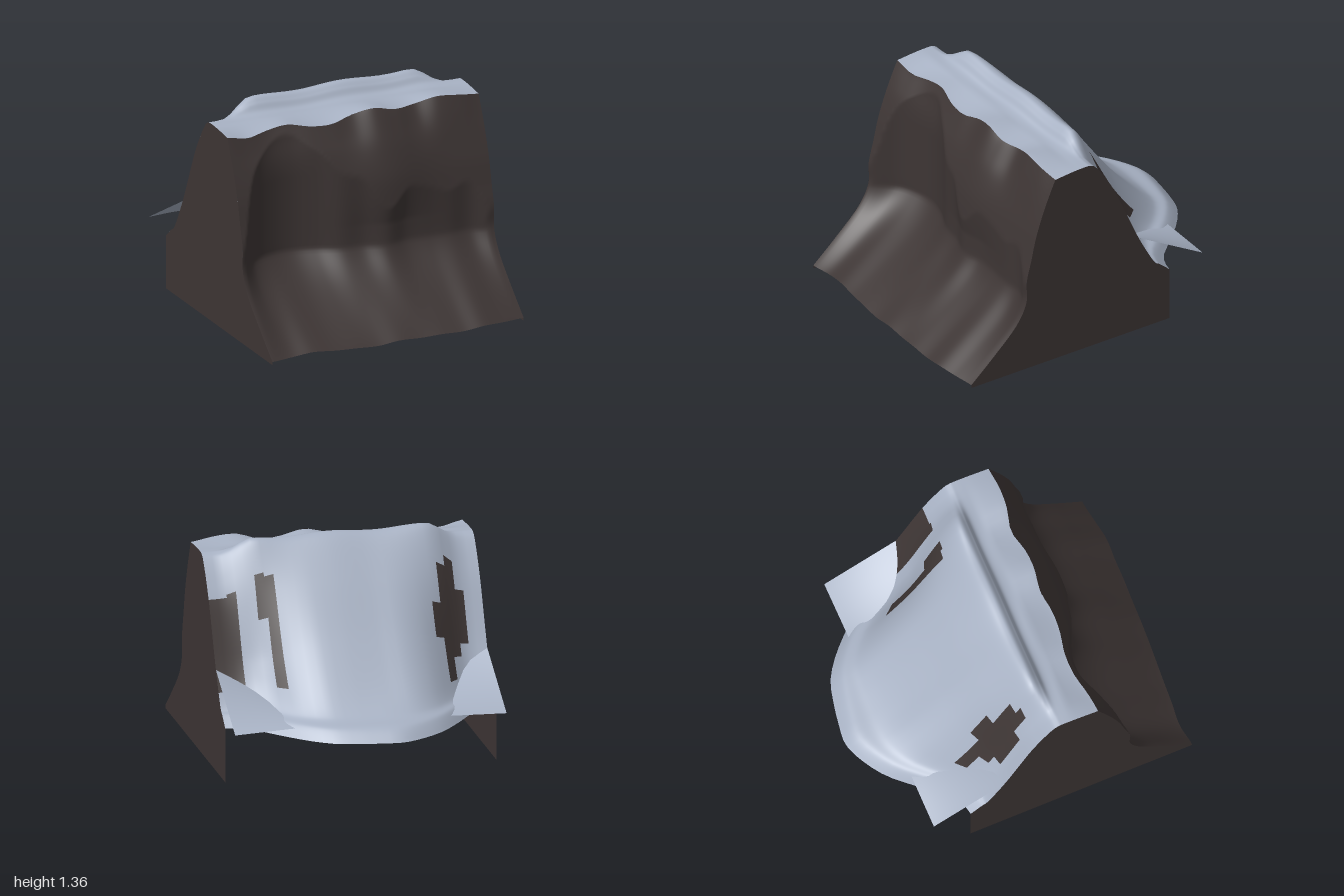
import * as THREE from 'three';

const HALF = 0.84;
const snow = new THREE.MeshStandardMaterial({ color: 0xa8b2c4, side: THREE.DoubleSide });
snow.name = 'snow';
const rock = new THREE.MeshStandardMaterial({ color: 0x3d3534, side: THREE.DoubleSide });
rock.name = 'rock';

const { lerp, smoothstep, clamp } = THREE.MathUtils;
const curve = (pts) => new THREE.SplineCurve(pts.map(([a, b]) => new THREE.Vector2(a, b)));
// smooth curve through equally spaced values across the width
const across = (vals) => {
  const c = curve(vals.map((v, i) => [i, v]));
  return (x) => c.getPoint((x + HALF) / (2 * HALF)).y;
};

// Profiles are (z, y) pairs running from the cliff edge outwards
const slopeEdge = curve([[0.35, 1.25], [0.22, 1.262], [0.13, 1.265], [0.09, 1.26], [0.05, 1.23], [-0.02, 1.13],
  [-0.1, 0.985], [-0.23, 0.69], [-0.305, 0.54], [-0.37, 0.43], [-0.41, 0.4], [-0.48, 0.34]]);
const slopeMid = curve([[0.35, 1.25], [0.22, 1.262], [0.125, 1.272], [0.082, 1.32], [0.035, 1.35], [-0.04, 1.305],
  [-0.2, 1.11], [-0.42, 0.81], [-0.62, 0.575], [-0.78, 0.45], [-0.92, 0.41], [-1, 0.34]]);
const cliff = curve([[0.35, 1.25], [0.395, 1.15], [0.44, 1.04], [0.49, 0.89], [0.525, 0.74], [0.558, 0.6],
  [0.56, 0.46], [0.635, 0.32], [0.8, 0.16], [0.96, 0.02]]);

// Waves of the cliff edge and toe, depth of the cliff face, outward reach of the snow slope
const edgeY = across([0, -0.03, -0.015, 0, -0.025, -0.03, 0, 0.025, -0.005, -0.005, 0.03, 0.02, 0]);
const edgeZ = across([0, -0.01, -0.04, -0.04, -0.01, 0, -0.02, 0, 0, -0.03, 0, 0.01, 0]);
const toeZ = across([0, -0.02, -0.01, 0, 0.01, 0.02, 0.025, 0.03, 0.035, 0.037, 0.04, 0.02, 0]);
const toeY = across([0, 0, 0.013, 0.002, -0.003, -0.008, 0.005, 0, 0.002, -0.003, 0.01, 0.003, 0]);
const faceZ = across([0.57, 0.44, 0.385, 0.375, 0.41, 0.47, 0.49, 0.535, 0.51, 0.515, 0.525, 0.52, 0.57]);
const body = across([0, 0.03, 0.41, 0.8, 1, 1, 1, 1, 0.95, 0.66, 0.19, 0.03, 0]);
const reach = across([0, 0.1, 0.42, 0.71, 0.89, 0.995, 0.97, 0.92, 0.84, 0.65, 0.38, 0.1, 0]);

function slopePoint(x, t) {
  const a = slopeEdge.getPoint(t), b = slopeMid.getPoint(t);
  const crest = smoothstep(0.76 - Math.abs(x), 0, 0.23);
  const w = lerp(lerp(crest, body(x), smoothstep(t, 0.35, 0.65)), reach(x), smoothstep(t, 0.7, 0.95));
  const front = 1 - smoothstep(t, 0, 0.14);
  const ripple = 0.008 * Math.cos(11 * x + 5.5) * w * Math.sin(Math.PI * Math.min(1, t * 1.3));
  return [x, lerp(a.y, b.y, w) + edgeY(x) * front + ripple, lerp(a.x, b.x, w) + edgeZ(x) * front];
}

function cliffPoint(x, t) {
  const p = cliff.getPoint(t);
  const top = 1 - smoothstep(t, 0, 0.3), toe = smoothstep(t, 0.6, 1);
  const belly = 0.04 * Math.exp(-(((x - 0.18) / 0.22) ** 2)) * Math.sin(Math.PI * Math.min(1, t * 1.8));
  // the face is worn back, fading out towards the toe
  const worn = Math.min(0, faceZ(x) - Math.min(p.x, 0.56)) * (1 - clamp((t - 0.66) / 0.34, 0, 1));
  return [x, p.y + edgeY(x) * top + toeY(x) * toe, p.x + edgeZ(x) * top + toeZ(x) * toe + worn + belly];
}

// Grid surface; cells picked by isRock get the second material
function sheet(name, point, x0, x1, cols, rows, materials, isRock = () => false) {
  const pos = [], plain = [], bare = [];
  for (let j = 0; j <= rows; j++)
    for (let i = 0; i <= cols; i++) pos.push(...point(lerp(x0, x1, i / cols), j / rows));
  for (let j = 0; j < rows; j++)
    for (let i = 0; i < cols; i++) {
      const a = j * (cols + 1) + i, b = a + 1, c = a + cols + 1, d = c + 1;
      const x = (pos[a * 3] + pos[d * 3]) / 2, z = (pos[a * 3 + 2] + pos[d * 3 + 2]) / 2;
      (isRock(x, z) ? bare : plain).push(a, b, c, b, d, c);
    }
  const g = new THREE.BufferGeometry();
  g.setAttribute('position', new THREE.Float32BufferAttribute(pos, 3));
  g.setIndex([...plain, ...bare]);
  if (Array.isArray(materials)) {
    g.addGroup(0, plain.length, 0);
    g.addGroup(plain.length, bare.length, 1);
  }
  g.computeVertexNormals();
  const mesh = new THREE.Mesh(g, materials);
  mesh.name = name;
  return mesh;
}

// Bare rock patches as x and z ranges, one column of cells wide or more
const patches = [
  [-0.73, -0.672, -0.25, -0.12], [-0.672, -0.616, -0.31, -0.06], [-0.616, -0.56, -0.44, -0.1],
  [-0.56, -0.504, -0.33, -0.22], [0.448, 0.504, -0.455, -0.11], [0.504, 0.56, -0.2, -0.09],
  [0.672, 0.84, -0.32, -0.08],
];
const isBare = (x, z) => patches.some(([a, b, c, d]) => x > a && x < b && z > c && z < d);

export function createModel() {
  const group = new THREE.Group();

  group.add(sheet('snowSlope', slopePoint, -HALF, HALF, 30, 110, [snow, rock], isBare));
  group.add(sheet('cliffFace', cliffPoint, -HALF, HALF, 90, 70, rock));

  for (const side of [-1, 1]) {
    // flat end wall following the edge of both sheets
    const outline = [[0.96, 0]];
    for (let k = 40; k >= 0; k--) {
      const [, y, z] = cliffPoint(side * HALF, k / 40);
      outline.push([z, y]);
    }
    for (let k = 1; k <= 50; k++) {
      const [, y, z] = slopePoint(side * HALF, k / 50);
      outline.push([z, y]);
    }
    outline.push([-0.48, 0]);
    const shape = new THREE.Shape(outline.map(([z, y]) => new THREE.Vector2(z, y)));
    const wall = new THREE.Mesh(new THREE.ShapeGeometry(shape).rotateY(-Math.PI / 2), rock);
    wall.position.x = side * HALF;
    wall.name = side > 0 ? 'leftEndWall' : 'rightEndWall';
    group.add(wall);

    // tilted snow drift at the back corner
    const drift = (x, t) => {
      const s = (Math.abs(x) - 0.16) / (HALF - 0.16);
      return [x, lerp(lerp(0.37, 0.64, s), lerp(0.4, 0.375, s), t), lerp(-0.25, -0.72, t)];
    };
    group.add(sheet(side > 0 ? 'leftSnowDrift' : 'rightSnowDrift', drift, Math.min(side * 0.16, side * HALF),
      Math.max(side * 0.16, side * HALF), 12, 12, snow));
  }
  return group;
}
